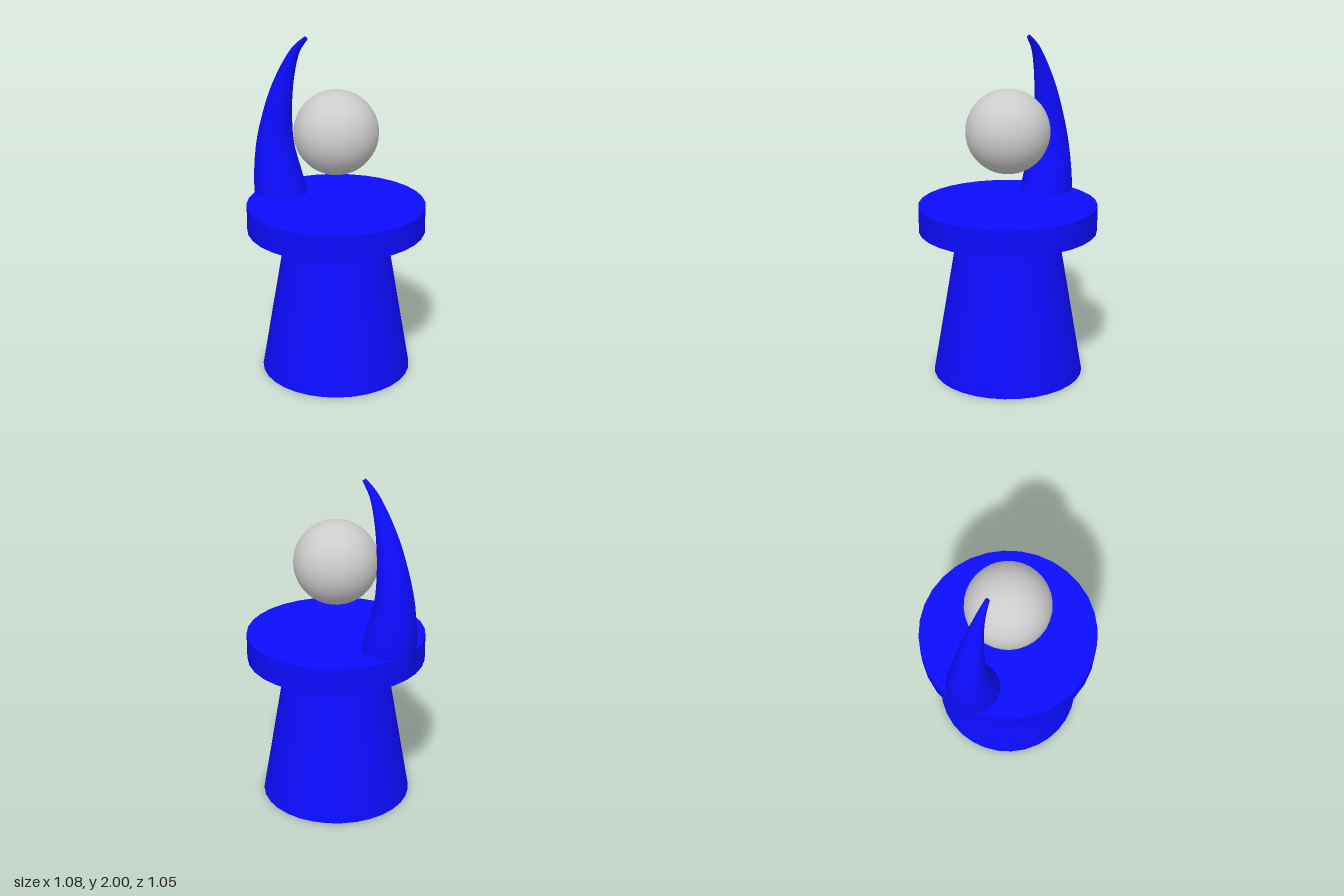
import * as THREE from 'three';

const AXIS_X = 0.015;

// Curved horn: round sections along a path in the XY plane, capped at both ends
function hornGeometry(sections, rings, sides) {
  const path = new THREE.CatmullRomCurve3(sections.map(([x, y]) => new THREE.Vector3(x, y, 0)));
  const radii = new THREE.CatmullRomCurve3(sections.map(([, , r], i) => new THREE.Vector3(i, r, 0)));
  const pos = [], idx = [];
  const addRing = (t) => {
    const c = path.getPoint(t), d = path.getTangent(t), r = radii.getPoint(t).y;
    for (let j = 0; j < sides; j++) {
      const a = (j / sides) * Math.PI * 2, u = r * Math.cos(a);
      pos.push(c.x + d.y * u, c.y - d.x * u, r * Math.sin(a));
    }
  };
  for (let i = 0; i <= rings; i++) addRing(i / rings);
  for (let i = 0; i < rings; i++) {
    for (let j = 0; j < sides; j++) {
      const k = (j + 1) % sides;
      const a = i * sides + j, b = i * sides + k;
      idx.push(a, a + sides, b, b, a + sides, b + sides);
    }
  }
  // Separate cap rings keep the end edges sharp
  for (const t of [0, 1]) {
    const s = pos.length / 3;
    addRing(t);
    for (let j = 1; j < sides - 1; j++) {
      if (t === 0) idx.push(s, s + j, s + j + 1);
      else idx.push(s, s + j + 1, s + j);
    }
  }
  const g = new THREE.BufferGeometry();
  g.setAttribute('position', new THREE.Float32BufferAttribute(pos, 3));
  g.setIndex(idx);
  g.computeVertexNormals();
  return g;
}

export function createModel() {
  const group = new THREE.Group();
  const blue = new THREE.MeshStandardMaterial({ color: 0x0c0cff });
  const grey = new THREE.MeshStandardMaterial({ color: 0xcccccc });

  const add = (name, geometry, material, x, y) => {
    const mesh = new THREE.Mesh(geometry, material);
    mesh.name = name;
    mesh.position.set(x, y, 0);
    group.add(mesh);
  };

  // Tapered pedestal and the round plate on top
  add('pedestal', new THREE.CylinderGeometry(0.293, 0.445, 0.89, 32), blue, AXIS_X, 0.445);
  add('plate', new THREE.CylinderGeometry(0.523, 0.523, 0.155, 32), blue, AXIS_X, 0.9625);

  // Floating ball
  add('ball', new THREE.SphereGeometry(0.245, 32, 24), grey, AXIS_X, 1.47);

  // Horn rising from the plate and curling over the ball: x, y, radius
  const sections = [
    [-0.365, 0.97, 0.16], [-0.392, 1.12, 0.148], [-0.412, 1.32, 0.115], [-0.395, 1.5, 0.089],
    [-0.36, 1.665, 0.066], [-0.31, 1.81, 0.043], [-0.255, 1.92, 0.025], [-0.188, 1.992, 0.012],
  ];
  add('horn', hornGeometry(sections, 21, 32), blue, 0, 0);

  return group;
}
